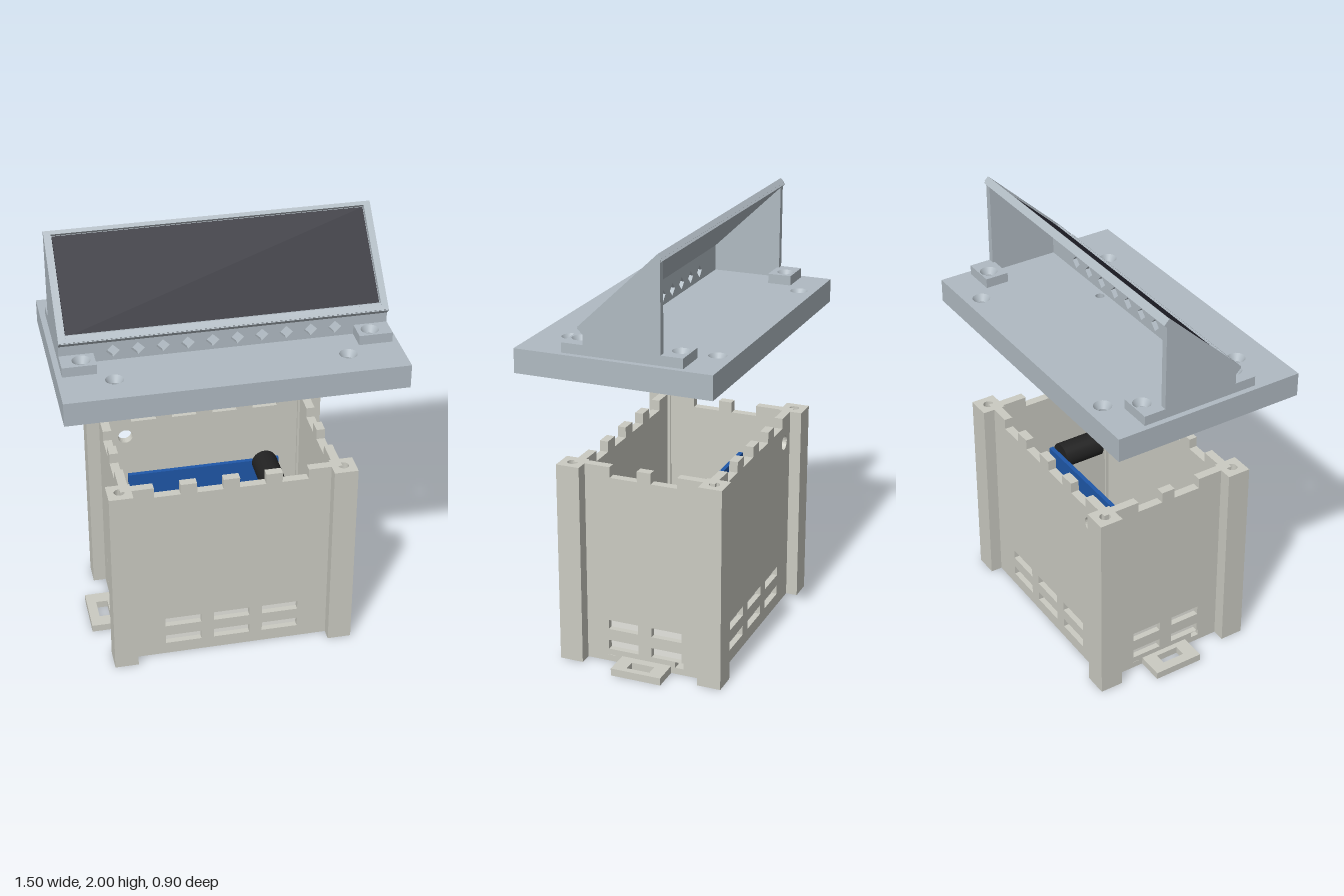
import * as THREE from 'three';

const mat = (color) => new THREE.MeshStandardMaterial({ color, side: THREE.DoubleSide });

// Closed path from x/y pairs
const poly = (pts, Type = THREE.Shape) => new Type(pts.map(([x, y]) => new THREE.Vector2(x, y)));
const rect = (x0, y0, x1, y1, Type = THREE.Shape) => poly([[x0, y0], [x1, y0], [x1, y1], [x0, y1]], Type);
const slot = (x0, y0, x1, y1) => rect(x0, y0, x1, y1, THREE.Path);
const round = (x, y, r) => new THREE.Path().absarc(x, y, r, 0, Math.PI * 2, true);

function extrude(shape, depth, holes = []) {
  shape.holes.push(...holes);
  return new THREE.ExtrudeGeometry(shape, { depth, bevelEnabled: false, curveSegments: 12 });
}
// Plan shape drawn in x/z, from y0 up to y1
const slab = (shape, y0, y1, holes) => extrude(shape, y1 - y0, holes).rotateX(Math.PI / 2).translate(0, y1, 0);

function add(parent, name, geometry, material, x = 0, y = 0, z = 0) {
  const mesh = new THREE.Mesh(geometry, material);
  mesh.name = name;
  mesh.position.set(x, y, z);
  parent.add(mesh);
  return mesh;
}
function box(parent, name, material, x0, x1, y0, y1, z0, z1) {
  return add(parent, name, new THREE.BoxGeometry(x1 - x0, y1 - y0, z1 - z0), material,
    (x0 + x1) / 2, (y0 + y1) / 2, (z0 + z1) / 2);
}

function createCase() {
  const g = new THREE.Group();
  g.name = 'case';
  const shell = mat(0xcbcbc2), pale = mat(0xe4e4de);
  const cz = -0.03, H = 0.95, T = 0.04, WX = 0.505, WZ = 0.335;
  const rows = [0.06, 0.16];

  // Wall with a notched top edge, vent slots and extra openings
  function wall(name, half, notches, vents, extra, x, z, turn) {
    const pts = [[-half, 0], [half, 0], [half, H]];
    [...notches].reverse().forEach(([a, b]) => pts.push([b, H], [b, 0.9], [a, 0.9], [a, H]));
    pts.push([-half, H]);
    const holes = [...extra];
    for (const y of rows) for (const [a, b] of vents) holes.push(slot(a, y, b, y + 0.045));
    const w = new THREE.Group();
    w.name = name;
    w.position.set(x, 0, z);
    w.rotation.y = turn;
    add(w, 'wallPanel', extrude(poly(pts), T, holes), shell);
    for (const y of rows) for (const [a, b] of vents) box(w, 'ventInsert', pale, a, b, y, y + 0.045, 0.004, 0.012);
    g.add(w);
  }
  const longNotches = [[-0.355, -0.235], [-0.16, -0.04], [0.035, 0.155], [0.23, 0.35]];
  const longVents = [[-0.315, -0.145], [-0.085, 0.085], [0.145, 0.315]];
  wall('frontWall', WX, longNotches, longVents, [], 0, cz + WZ - T, 0);
  wall('backWall', WX, longNotches, longVents, [round(0.38, 0.82, 0.035)], 0, cz - WZ + T, Math.PI);
  const sideNotches = [[-0.16, -0.03], [0.035, 0.16]];
  const sideVents = [[-0.175, -0.03], [0.035, 0.18]];
  const pegs = [slot(-0.185, 0.03, -0.145, 0.06), slot(0.15, 0.03, 0.19, 0.06)];
  wall('leftWall', WZ, sideNotches, sideVents, pegs, WX - T, cz, Math.PI / 2);
  wall('rightWall', WZ, sideNotches.map(([a, b]) => [-b, -a]).reverse(), sideVents.map(([a, b]) => [-b, -a]),
    [slot(0.145, 0.03, 0.185, 0.06), slot(-0.19, 0.03, -0.15, 0.06)], -WX + T, cz, -Math.PI / 2);
  box(g, 'floor', shell, -WX, WX, 0, 0.025, cz - WZ, cz + WZ);

  // Corner posts with screw holes, and mounting ears
  for (const sx of [-1, 1]) {
    for (const sz of [-1, 1]) {
      const x = sx * 0.51, z = cz + sz * 0.335;
      box(g, 'cornerPost', shell, x - 0.055, x + 0.055, 0, 0.7, z - 0.055, z + 0.055);
      add(g, 'cornerPostTop', slab(rect(-0.055, -0.055, 0.055, 0.055), 0.7, H, [round(0, 0, 0.024)]), shell, x, 0, z);
    }
    add(g, 'mountingEar', slab(rect(-0.065, -0.12, 0.065, 0.12), 0, 0.035, [slot(-0.02, -0.055, 0.035, 0.055)].map((h) => h)),
      shell, sx * 0.565, 0, -0.04).scale.x = 1;
  }

  // Circuit board with a round component
  box(g, 'circuitBoard', mat(0x1f57a8), -0.4, 0.32, 0.08, 0.73, -0.15, -0.13);
  add(g, 'roundComponent', new THREE.CylinderGeometry(0.06, 0.06, 0.2, 24).rotateX(Math.PI / 2), mat(0x222222), 0.25, 0.72, -0.03);
  return g;
}

function createLid() {
  const g = new THREE.Group();
  g.name = 'lid';
  const shell = mat(0xb0bac2), dark = mat(0x262630);
  const corner = [], mounts = [];
  for (const sx of [-1, 1]) {
    corner.push([sx * 0.51, -0.375], [sx * 0.51, 0.3]);
    mounts.push([sx * 0.635, -0.265], [sx * 0.635, 0.19]);
  }
  const R = 0.04, r = 0.021;
  const cone = (name, x, y, z) =>
    add(g, name, new THREE.CylinderGeometry(R, r, 0.03, 24, 1, true), shell, x, y - 0.015, z);

  // Base plate in two layers with countersunk holes
  const cable = [0.24, 0.085];
  const plate = () => rect(-0.75, -0.45, 0.75, 0.45);
  const small = (list, q) => list.map(([x, z]) => round(x, z, q));
  add(g, 'plateTop', slab(plate(), 1.5, 1.53, [...small(corner, R), ...small(mounts, r), round(...cable, 0.02)]), shell);
  add(g, 'plateBottom', slab(plate(), 1.48, 1.5, small([...corner, ...mounts, cable], r)), shell);
  corner.forEach(([x, z]) => cone('countersink', x, 1.53, z));
  add(g, 'plateRim', slab(plate(), 1.42, 1.48, [slot(-0.71, -0.43, 0.71, 0.43)]), shell);

  // Mounting pads above, bosses and ribs below
  mounts.forEach(([x, z]) => {
    const s = Math.sign(x), z0 = z < 0 ? -0.31 : 0.14, z1 = z < 0 ? -0.2 : 0.24;
    add(g, 'mountingPad', slab(rect(Math.min(s * 0.575, s * 0.725), z0, Math.max(s * 0.575, s * 0.725), z1),
      1.53, 1.575, [round(x, z, R)]), shell);
    cone('padCountersink', x, 1.575, z);
    const ring = new THREE.Shape().absarc(0, 0, 0.042, 0, Math.PI * 2);
    add(g, 'screwBoss', slab(ring, 1.435, 1.48, [round(0, 0, r)]), shell, x, 0, z);
  });
  for (const s of [-1, 1]) box(g, 'lidRib', shell, s * 0.585 - 0.013, s * 0.585 + 0.013, 1.43, 1.48, -0.43, 0.43);

  // Hanging pins
  for (const [x, z, rad, y] of [[0.135, 0.11, 0.03, 1.32], [0.135, -0.21, 0.03, 1.32], [-0.43, 0.012, 0.02, 1.2]])
    add(g, 'hangingPin', new THREE.CylinderGeometry(rad, rad, 1.485 - y, 24), shell, x, (1.485 + y) / 2, z);

  // Housing cheeks
  const W = 0.725;
  const profile = [[-0.21, 1.53], [0.14, 1.53], [0.14, 1.62], [0.162, 1.645], [0.155, 1.655], [-0.19, 1.985], [-0.21, 1.985]];
  for (const x of [W, -W + 0.03])
    add(g, 'housingCheek', extrude(poly(profile), 0.03).rotateY(-Math.PI / 2), shell, x);

  // Front strip with diamond openings and the lip above it
  const diamonds = [];
  for (let i = 0; i < 10; i++) {
    const x = (i - 4.5) * 0.109, d = 0.03;
    diamonds.push(poly([[x - d, 1.575], [x, 1.575 - d], [x + d, 1.575], [x, 1.575 + d]], THREE.Path));
  }
  add(g, 'ventStrip', extrude(rect(-W, 1.53, W, 1.625), 0.025, diamonds), shell, 0, 0, 0.114);
  const lip = [[0.114, 1.62], [0.14, 1.62], [0.165, 1.645], [0.14, 1.67], [0.114, 1.67]];
  add(g, 'housingLip', extrude(poly(lip), 2 * W).rotateY(-Math.PI / 2), shell, W);

  // Sloping display with frame and retaining clips
  const display = new THREE.Group();
  display.name = 'display';
  display.position.set(0, 1.65, 0.165);
  display.rotation.x = -Math.atan2(0.365, 0.35);
  const L = 0.505;
  add(display, 'displayFrame', extrude(rect(-W, 0, W, L), 0.025, [slot(-0.695, 0.02, 0.695, L - 0.018)]), shell, 0, 0, -0.025);
  box(display, 'displayBack', shell, -W + 0.002, W - 0.002, 0.002, L - 0.002, -0.035, -0.02);
  box(display, 'screen', dark, -0.69, 0.69, 0.028, L - 0.024, -0.025, -0.008);
  for (const s of [-1, 1]) box(display, 'screenClip', shell, s * 0.645 - 0.047, s * 0.645 + 0.047, 0.015, 0.032, -0.008, 0);
  g.add(display);
  return g;
}

export function createModel() {
  const model = new THREE.Group();
  model.name = 'enclosure';
  model.add(createCase(), createLid());
  return model;
}
